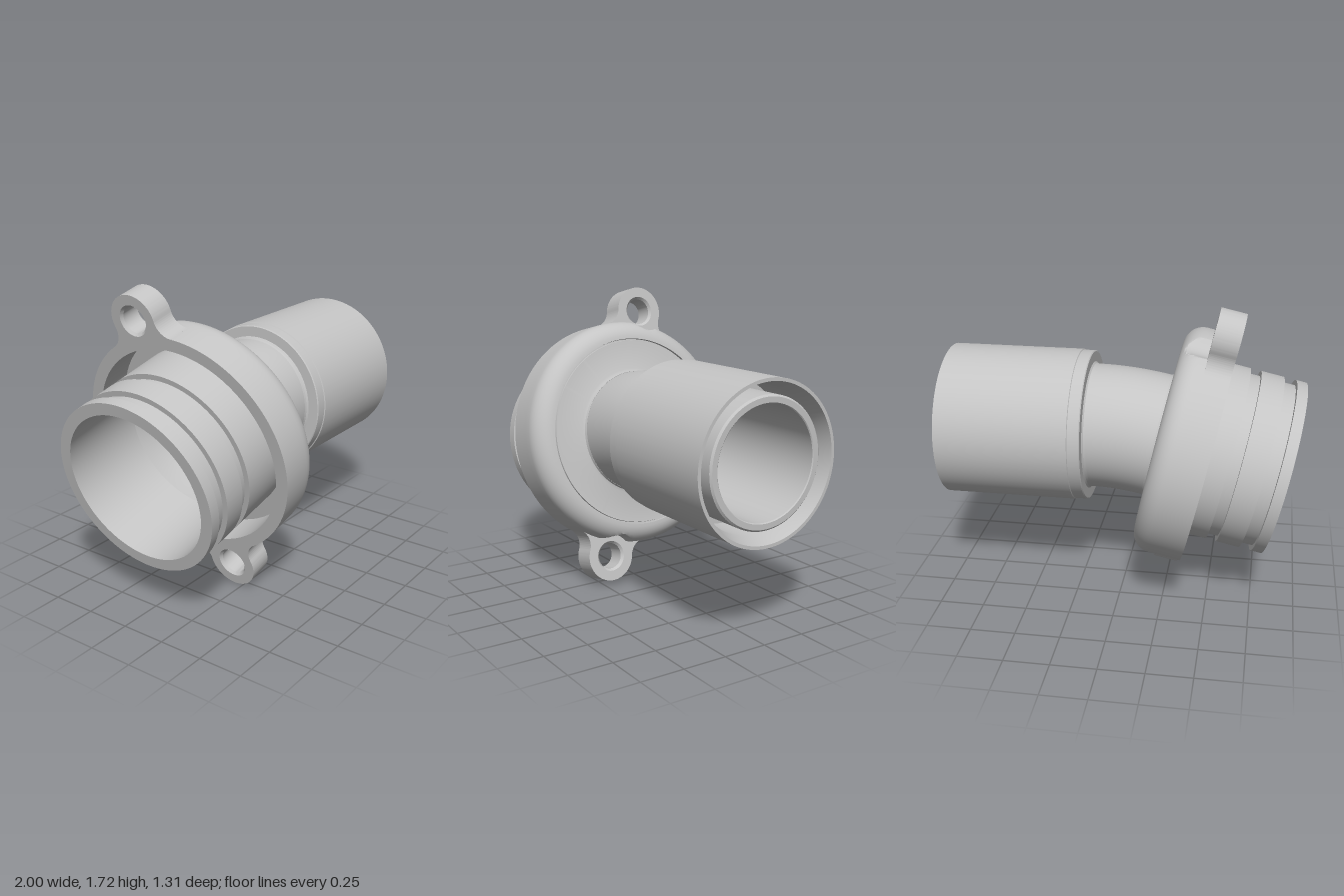
import * as THREE from 'three';
import { toCreasedNormals } from 'three/addons/utils/BufferGeometryUtils.js';

const TILT = 12.5 * Math.PI / 180;
const FLANGE_R = 0.655, LUG_BACK = 0.42, LUG_FRONT = 0.56;
const LUG_X = 0.718, LUG_Z = 0.2, LUG_D = Math.hypot(LUG_X, LUG_Z);
const LUG_R = 0.145, HOLE_R = 0.088, SCOOP_R = 0.13;
const LUG_ANGLE = Math.atan2(LUG_Z, LUG_X);

export function createModel() {
  const model = new THREE.Group();
  const grey = new THREE.MeshStandardMaterial({ color: 0xc4c4c4, side: THREE.DoubleSide });

  const add = (parent, name, geometry) => {
    const mesh = new THREE.Mesh(geometry, grey);
    mesh.name = name;
    parent.add(mesh);
    return mesh;
  };
  const lathe = (profile, segments) =>
    new THREE.LatheGeometry(profile.map(([r, y]) => new THREE.Vector2(r, y)), segments);
  const crease = (geometry) => toCreasedNormals(geometry, 0.5);

  // Tilted flange assembly: local y runs along its axis, from the spigot end
  const flange = new THREE.Group();
  flange.name = 'flangeAssembly';
  flange.position.set(-0.885, 0.755, 0);
  flange.rotation.z = TILT - Math.PI / 2;
  model.add(flange);

  // Grooved spigot, hollow flange with rounded front edge, and tapering bore
  const edge = [];
  for (let i = 0; i <= 10; i++) {
    const a = i / 10 * Math.PI / 2;
    edge.push([0.545 + 0.11 * Math.cos(a), 0.6 + 0.11 * Math.sin(a)]);
  }
  const body = lathe([
    [0.43, -0.01], [0.497, -0.01], [0.497, 0.05], [0.467, 0.05], [0.467, 0.12],
    [0.497, 0.12], [0.497, 0.25], [0.467, 0.25], [0.467, 0.31], [0.497, 0.31],
    [0.497, 0.62], [0.585, 0.62], [0.585, LUG_BACK], [FLANGE_R, LUG_BACK],
    [FLANGE_R, LUG_FRONT], [FLANGE_R, LUG_FRONT + 0.0002],
    ...edge,
    [0.543, 0.696], [0.536, 0.696], [0.534, 0.705],
    [0.37, 0.705], [0.356, 0.711], [0.351, 0.725], [0.32, 0.705],
    [0.3, 0.7], [0.3, 0.68], [0.36, 0.58], [0.43, 0.5], [0.43, -0.01],
  ], 240);

  // Round clearance scoops in the flange in front of each lug
  const p = body.attributes.position;
  for (let i = 0; i < p.count; i++) {
    if (p.getY(i) <= LUG_FRONT + 0.0001) continue;
    const x = p.getX(i), z = p.getZ(i), r = Math.hypot(x, z);
    for (const s of [1, -1]) {
      if (Math.hypot(x - s * LUG_X, z - s * LUG_Z) >= SCOOP_R) continue;
      const d = Math.atan2(z * s, x * s) - LUG_ANGLE;
      const wall = LUG_D * Math.cos(d) - Math.sqrt(SCOOP_R ** 2 - (LUG_D * Math.sin(d)) ** 2);
      p.setX(i, x * wall / r);
      p.setZ(i, z * wall / r);
    }
  }
  add(flange, 'flangeAndSpigot', crease(body));

  // Lug outline, blended into the flange rim by concave fillets
  const f = 0.1, dO = FLANGE_R + f, dL = LUG_R + f;
  const cx = (dO * dO + LUG_D * LUG_D - dL * dL) / (2 * LUG_D);
  const cy = Math.sqrt(dO * dO - cx * cx);
  const rimA = Math.atan2(cy, cx), lugA = Math.atan2(cy, cx - LUG_D);
  const outline = new THREE.Shape();
  outline.moveTo(0.62 * Math.cos(rimA), -0.62 * Math.sin(rimA));
  outline.absarc(cx, -cy, f, Math.PI - rimA, Math.PI - lugA, true);
  outline.absarc(LUG_D, 0, LUG_R, -lugA, lugA, false);
  outline.absarc(cx, cy, f, lugA - Math.PI, rimA - Math.PI, true);
  outline.lineTo(0.62 * Math.cos(rimA), 0.62 * Math.sin(rimA));
  outline.closePath();
  outline.holes.push(new THREE.Path().absarc(LUG_D, 0, HOLE_R, 0, Math.PI * 2, true));
  const lugGeometry = crease(new THREE.ExtrudeGeometry(outline, {
    depth: LUG_FRONT - LUG_BACK, bevelEnabled: false, curveSegments: 32,
  }).rotateX(-Math.PI / 2).translate(0, LUG_BACK, 0));

  // Chamfered bolt hole
  const holeGeometry = crease(lathe([
    [HOLE_R, LUG_FRONT], [0.075, LUG_FRONT - 0.015],
    [0.075, LUG_BACK + 0.015], [HOLE_R, LUG_BACK],
  ], 48).translate(LUG_D, 0, 0));

  ['lowerLug', 'upperLug'].forEach((name, i) => {
    const lug = new THREE.Group();
    lug.name = name;
    lug.rotation.y = -LUG_ANGLE + i * Math.PI;
    add(lug, name + 'Plate', lugGeometry);
    add(lug, name + 'Hole', holeGeometry);
    flange.add(lug);
  });

  // Bent neck, outside and bore
  const start = 0.7;
  const bend = new THREE.QuadraticBezierCurve3(
    new THREE.Vector3(-0.885 + start * Math.cos(TILT), 0.755 + start * Math.sin(TILT), 0),
    new THREE.Vector3(-0.006, 0.95, 0),
    new THREE.Vector3(0.18, 0.95, 0));
  add(model, 'neck', new THREE.TubeGeometry(bend, 32, 0.35, 96));
  add(model, 'neckBore', new THREE.TubeGeometry(bend, 32, 0.3, 96));

  // Straight double-walled connector along x
  const connector = add(model, 'connector', crease(lathe([
    [0.35, 0.17], [0.353, 0.182], [0.362, 0.19], [0.42, 0.19], [0.425, 0.195],
    [0.425, 0.257], [0.43, 0.26], [0.43, 1], [0.412, 1], [0.385, 0.9],
    [0.385, 0.65], [0.345, 0.65], [0.345, 0.975], [0.335, 0.985],
    [0.305, 0.985], [0.3, 0.98], [0.3, 0.17],
  ], 128)));
  connector.rotation.z = -Math.PI / 2;
  connector.position.y = 0.95;

  return model;
}
